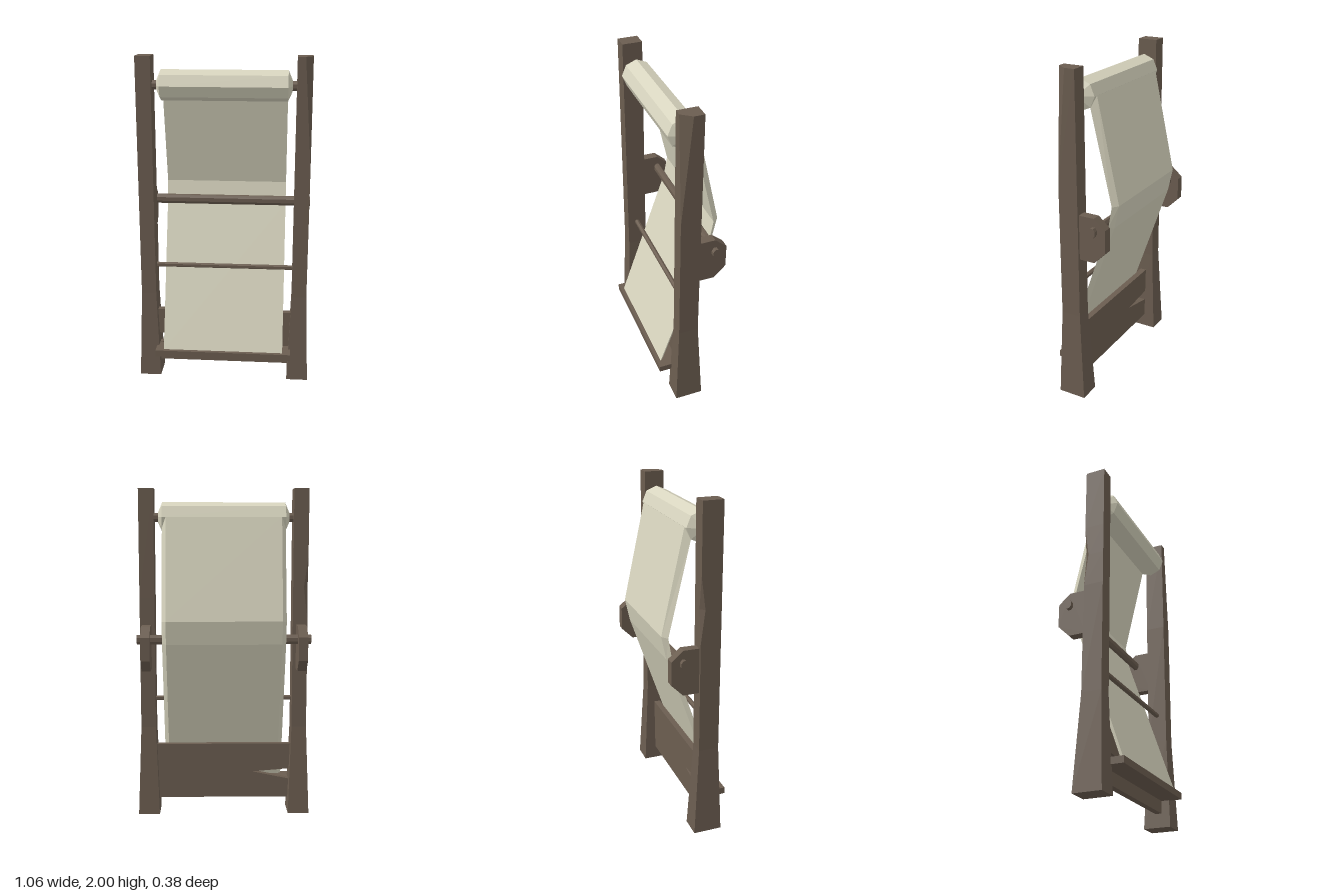
import * as THREE from 'three';

const wood = new THREE.MeshStandardMaterial({ color: 0x6b5d50 });
wood.name = 'dark wood';
const canvas = new THREE.MeshStandardMaterial({ color: 0xd8d5bf });
canvas.name = 'canvas cloth';

// Skin a stack of rings (counter-clockwise seen from above), capped at both ends
function loft(rings) {
  const pos = [];
  const ab = new THREE.Vector3(), ac = new THREE.Vector3();
  const tri = (a, b, c) => {
    ab.subVectors(b, a);
    ac.subVectors(c, a);
    if (ab.cross(ac).length() > 1e-9) for (const p of [a, b, c]) pos.push(p.x, p.y, p.z);
  };
  const n = rings[0].length;
  for (let k = 0; k < rings.length - 1; k++) {
    const r0 = rings[k], r1 = rings[k + 1];
    for (let i = 0; i < n; i++) {
      const j = (i + 1) % n;
      tri(r0[i], r0[j], r1[j]);
      tri(r0[i], r1[j], r1[i]);
    }
  }
  const lo = rings[0], hi = rings[rings.length - 1];
  for (let i = 1; i < n - 1; i++) {
    tri(lo[0], lo[i + 1], lo[i]);
    tri(hi[0], hi[i], hi[i + 1]);
  }
  const g = new THREE.BufferGeometry();
  g.setAttribute('position', new THREE.Float32BufferAttribute(pos, 3));
  g.computeVertexNormals();
  return g;
}

const flat = (g) => {
  const f = g.index ? g.toNonIndexed() : g;
  f.computeVertexNormals();
  return f;
};

const polygon = (pts) => new THREE.Shape(pts.map(([x, y]) => new THREE.Vector2(x, y)));

// Faceted bar lying along x
function bar(halfLength, ry, rz, sides) {
  const g = new THREE.CylinderGeometry(1, 1, halfLength * 2, sides, 1, false, Math.PI / sides);
  g.rotateZ(Math.PI / 2);
  const k = 1 / Math.cos(Math.PI / sides);
  g.scale(1, ry * k, rz * k);
  return flat(g);
}

// Post extents at a height: flared foot, straight above y = 0.55
function section(y) {
  return y === 0
    ? { xi: 0.4, xo: 0.53, zf: 0.12, zb: -0.05 }
    : { xi: 0.42, xo: 0.51, zf: 0.1, zb: -0.02 };
}

export function createModel() {
  const model = new THREE.Group();
  const add = (name, geometry, material, x = 0, y = 0, z = 0) => {
    const m = new THREE.Mesh(geometry, material);
    m.name = name;
    m.position.set(x, y, z);
    model.add(m);
    return m;
  };

  // Left post, front outer corner hewn off towards the top
  add('leftPost', loft([[0, 0, 0], [0.55, 0, 0], [1.35, 0, 0], [2, 0.045, 0.06]].map(([y, cx, cz]) => {
    const { xi, xo, zf, zb } = section(y);
    return [[xo - cx, zf], [xo, zf - cz], [xo, zb], [xi, zb], [xi, zf]]
      .map(([x, z]) => new THREE.Vector3(x, y, z));
  })), wood);

  // Right post, with a small chip in its rear outer edge
  add('rightPost', loft([[0, 0], [0.55, 0], [1.21, 0], [1.41, 0.025], [1.6, 0], [2, 0]].map(([y, c]) => {
    const { xi, xo, zf, zb } = section(y);
    return [[-xi, zf], [-xi, zb], [-xo + c, zb], [-xo, zb + c], [-xo, zf]]
      .map(([x, z]) => new THREE.Vector3(x, y, z));
  })), wood);

  // Cracked lower board between the posts
  const board = new THREE.ExtrudeGeometry(polygon([
    [-0.42, 0.085], [0.42, 0.085], [0.42, 0.43], [-0.42, 0.43],
    [-0.42, 0.27], [-0.18, 0.25], [-0.42, 0.2],
  ]), { depth: 0.04, bevelEnabled: false });
  add('lowerBoard', board, wood, 0, 0, 0.025);

  // Front ledge holding the foot of the cloth
  add('frontLedge', new THREE.BoxGeometry(0.84, 0.04, 0.13), wood, 0, 0.182, 0.125);

  // Rails and roller axle
  add('middleRail', bar(0.52, 0.028, 0.02, 8), wood, 0, 1.106, -0.115);
  add('thinRail', bar(0.42, 0.013, 0.013, 6), wood, 0, 0.722, 0.04);
  add('rollerAxle', bar(0.43, 0.027, 0.027, 8), wood, 0, 1.83, 0.035);

  // Rear brackets carrying the middle rail
  const bracket = new THREE.ExtrudeGeometry(polygon([
    [-0.185, 0.985], [-0.115, 0.915], [-0.01, 0.915],
    [-0.01, 1.185], [-0.115, 1.185], [-0.185, 1.125],
  ]), { depth: 0.055, bevelEnabled: false });
  bracket.translate(0, 0, -0.0275);
  bracket.rotateY(-Math.PI / 2);
  for (const s of [1, -1]) add(s > 0 ? 'leftBracket' : 'rightBracket', bracket, wood, s * 0.468);

  // Cloth wound on the roller: octagonal with tapered ends
  const roll = new THREE.LatheGeometry(
    [[0, -0.395], [0.032, -0.395], [0.09, -0.37], [0.09, 0.37], [0.032, 0.395], [0, 0.395]]
      .map(([r, h]) => new THREE.Vector2(r, h)), 8);
  roll.rotateZ(Math.PI / 2);
  add('clothRoll', flat(roll), canvas, 0, 1.83, 0.035);

  // Hanging cloth, pushed back at the middle rail: [front y, front z, back y, back z]
  add('hangingCloth', loft([
    [0.2, 0.167, 0.195, 0.143],
    [1.085, -0.134, 1.08, -0.16],
    [1.215, -0.157, 1.22, -0.19],
    [1.79, -0.022, 1.83, -0.056],
  ].map(([yf, zf, yb, zb]) => [
    new THREE.Vector3(0.37, yf, zf), new THREE.Vector3(0.345, yb, zb),
    new THREE.Vector3(-0.345, yb, zb), new THREE.Vector3(-0.37, yf, zf),
  ])), canvas);

  return model;
}
